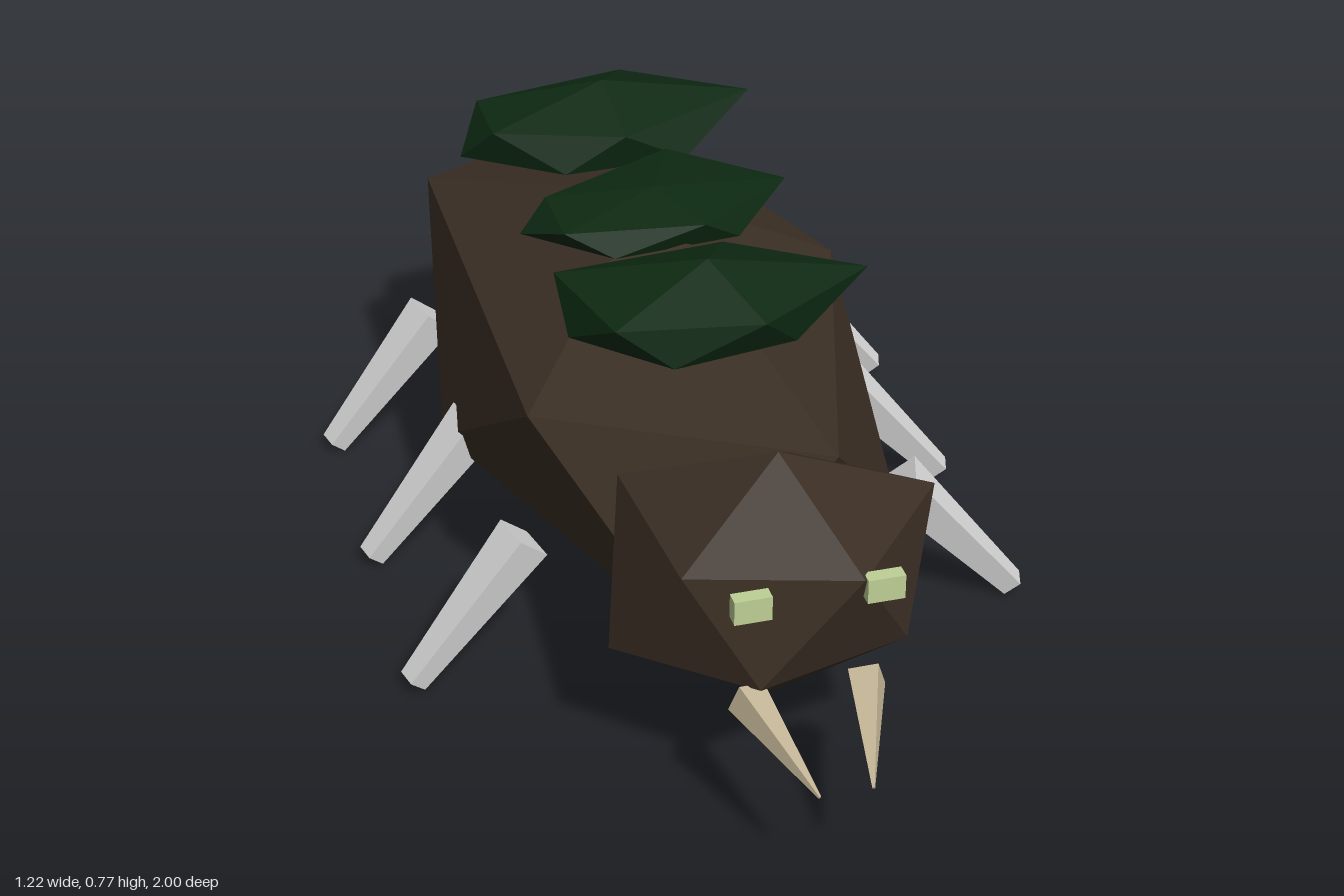
import * as THREE from 'three';

const mat = (name, color) => Object.assign(new THREE.MeshStandardMaterial({ color, flatShading: true }), { name });

// Irregular icosahedron: two poles and a zigzag ring of ten [x, z, y?] points,
// alternating lower and upper, starting at -x and running round by -z
function gem(name, material, top, bottom, yUpper, yLower, ring) {
  const pts = ring.map(([x, z, y], i) => [x, y ?? (i % 2 ? yUpper : yLower), z]);
  const at = i => pts[i % 10];
  const pos = [];
  for (let i = 0; i < 10; i += 2) {
    pos.push(
      ...top, ...at(i + 3), ...at(i + 1),
      ...at(i), ...at(i + 1), ...at(i + 2),
      ...at(i + 1), ...at(i + 3), ...at(i + 2),
      ...bottom, ...at(i), ...at(i + 2));
  }
  const geo = new THREE.BufferGeometry();
  geo.setAttribute('position', new THREE.Float32BufferAttribute(pos, 3));
  geo.computeVertexNormals();
  const mesh = new THREE.Mesh(geo, material);
  mesh.name = name;
  return mesh;
}

// Square tapered bar running from a to b
function taper(name, material, a, b, ra, rb) {
  const from = new THREE.Vector3(...a), to = new THREE.Vector3(...b);
  const dir = to.clone().sub(from);
  const geo = new THREE.CylinderGeometry(rb, ra, dir.length(), 4).rotateY(Math.PI / 4);
  const mesh = new THREE.Mesh(geo, material);
  mesh.name = name;
  mesh.position.copy(from).add(to).multiplyScalar(0.5);
  mesh.quaternion.setFromUnitVectors(new THREE.Vector3(0, 1, 0), dir.normalize());
  return mesh;
}

export function createModel() {
  const group = new THREE.Group();
  const hide = mat('brown hide', 0x3b2f24);
  const moss = mat('dark green moss', 0x0d2912);
  const bone = mat('pale grey leg', 0xd4d4d4);
  const horn = mat('tan horn', 0xc4b596);
  const glow = mat('pale green eye', 0xbfd096);

  // Body and head
  group.add(gem('body', hide, [0, 0.7, -0.27], [0, 0.035, -0.27], 0.515, 0.195, [
    [-0.42, -0.28, 0.21], [-0.34, -0.76, 0.53], [-0.12, -1, 0.22], [0.12, -1, 0.52], [0.365, -0.79],
    [0.375, -0.27], [0.37, 0.19], [0.14, 0.5, 0.545], [-0.13, 0.48], [-0.35, 0.2, 0.53]]));
  group.add(gem('head', hide, [0, 0.635, 0.59], [0, 0.13, 0.59], 0.515, 0.3, [
    [-0.3, 0.58, 0.275], [-0.24, 0.42, 0.525], [-0.08, 0.4], [0.08, 0.42], [0.2, 0.45],
    [0.29, 0.58], [0.2, 0.72], [0.08, 0.83], [-0.09, 0.8], [-0.21, 0.73, 0.505]]));

  // Mossy plates along the back
  group.add(gem('frontBackPlate', moss, [0, 0.775, 0.15], [0, 0.61, 0.15], 0.715, 0.64, [
    [-0.255, 0.13], [-0.255, 0.02], [-0.1, 0.02], [0.075, -0.01], [0.18, 0.07],
    [0.305, 0.15], [0.14, 0.25], [0.065, 0.305], [-0.1, 0.29], [-0.2, 0.26]]));
  group.add(gem('middleBackPlate', moss, [0, 0.735, -0.22], [0, 0.63, -0.22], 0.71, 0.66, [
    [-0.26, -0.24], [-0.2, -0.28], [-0.07, -0.34], [0.075, -0.415], [0.15, -0.33],
    [0.265, -0.235], [0.14, -0.12], [0.065, -0.09], [-0.11, -0.095], [-0.2, -0.125]]));
  group.add(gem('rearBackPlate', moss, [0, 0.77, -0.63], [0, 0.61, -0.63], 0.715, 0.64, [
    [-0.295, -0.625], [-0.24, -0.715], [-0.13, -0.77], [0.075, -0.78], [0.205, -0.735],
    [0.305, -0.62], [0.14, -0.5], [0.01, -0.475], [-0.11, -0.49], [-0.24, -0.56]]));

  for (const s of [1, -1]) {
    const side = s > 0 ? 'left' : 'right';

    // Three legs a side
    [0.205, -0.22, -0.65].forEach((z, i) => {
      group.add(taper(`${side}Leg${i + 1}`, bone, [s * 0.365, 0.274, z], [s * 0.592, 0.018, z + 0.038], 0.054, 0.028));
    });

    // Mandibles
    group.add(taper(`${side}Mandible`, horn, [s * 0.108, 0.274, 0.775], [s * 0.047, 0.217, 1], 0.038, 0.003));

    // Eyes
    const eye = new THREE.Mesh(new THREE.BoxGeometry(0.066, 0.046, 0.027), glow);
    eye.name = `${side}Eye`;
    eye.position.set(s * 0.116, 0.495, 0.823);
    group.add(eye);
  }
  return group;
}
